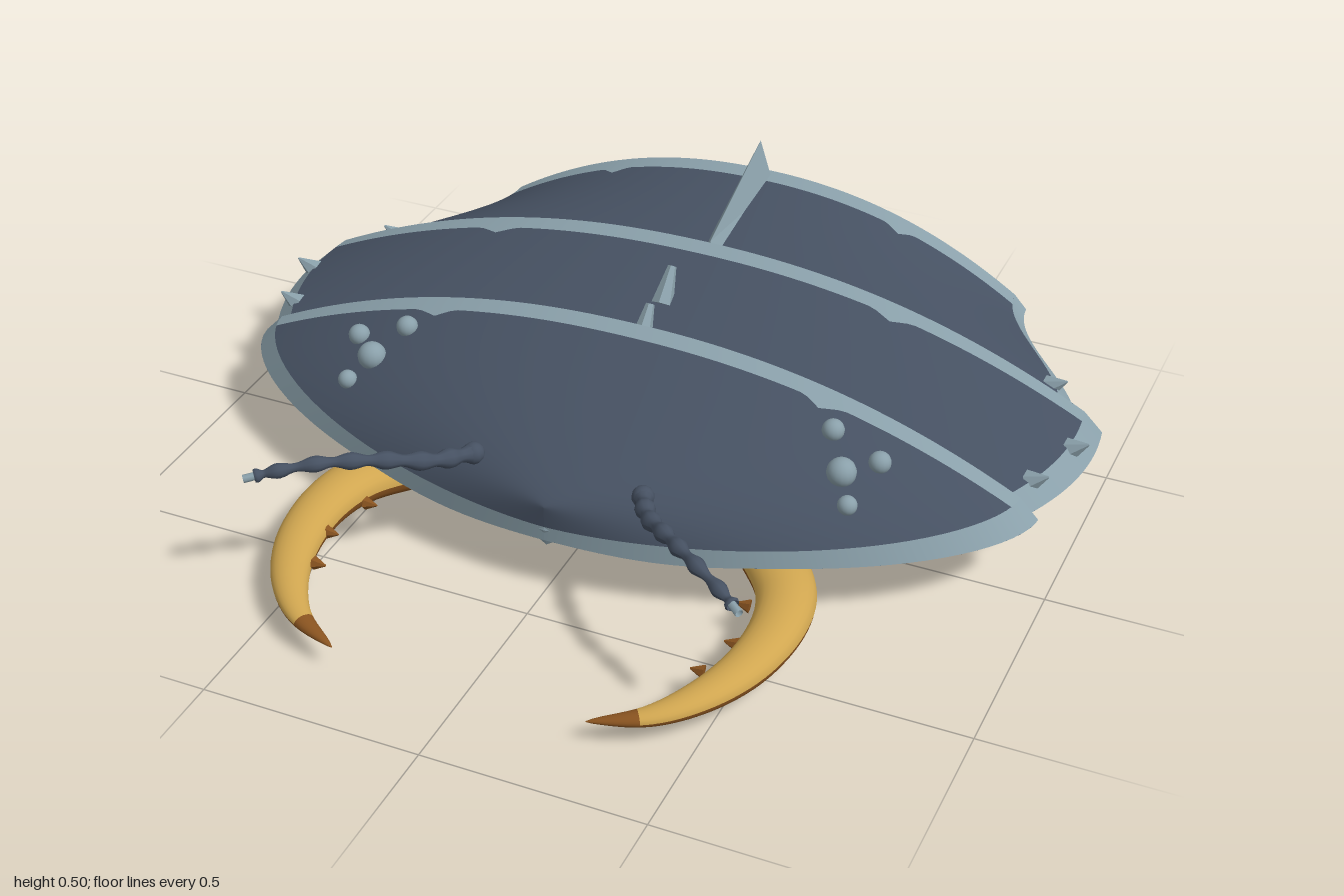
import * as THREE from 'three';

const mat = (name, color) => {
  const m = new THREE.MeshStandardMaterial({ color, side: THREE.DoubleSide });
  m.name = name;
  return m;
};
const lerp = THREE.MathUtils.lerp;

// Smooth surface patch from a rule: fn(a, b) -> [x, y, z], with a and b in 0..1
function patch(fn, na, nb) {
  const pos = [], idx = [];
  for (let i = 0; i <= na; i++)
    for (let j = 0; j <= nb; j++) {
      pos.push(...fn(i / na, j / nb));
      if (i < na && j < nb) {
        const p = i * (nb + 1) + j, q = p + nb + 1;
        idx.push(p, p + 1, q, p + 1, q + 1, q);
      }
    }
  const g = new THREE.BufferGeometry();
  g.setAttribute('position', new THREE.Float32BufferAttribute(pos, 3));
  g.setIndex(idx);
  g.computeVertexNormals();
  return g;
}

// Shell segments: half width, crown height and edge heights along t (front 0, back 1)
const headWidth = t => 0.955 * Math.pow(Math.max(0, 1 - Math.pow(1 - t, 1.7)), 0.6);
const SEGMENTS = [
  { name: 'headShell', z0: 0.41, z1: -0.055, ease: 2, notch: 0.52,
    w: headWidth,
    h: t => 0.22 + 0.2 * Math.pow(t, 0.7),
    low: t => 0.135 + 0.03 * headWidth(t) ** 2,
    high: t => 0.17 + 0.042 * headWidth(t) ** 2,
    belly: t => 0.1 * (1 - Math.pow(1 - t, 2.5)) },
  { name: 'middleShell', z0: -0.05, z1: -0.43, ease: 1, notch: 0.52,
    w: t => 1 - 0.13 * (t - 0.75) ** 2,
    h: t => lerp(0.34, 0.435, t),
    low: () => 0.168,
    high: () => 0.212,
    belly: t => lerp(0.1, 0.11, t) },
  { name: 'rearShell', z0: -0.425, z1: -0.84, ease: 1, notch: 0.56,
    w: t => 0.925 - 0.235 * THREE.MathUtils.smoothstep(t, 0, 1),
    h: t => lerp(0.34, 0.42, t),
    low: t => lerp(0.165, 0.188, t),
    high: t => lerp(0.2, 0.222, t),
    belly: t => lerp(0.11, 0.12, t) },
];

const segT = (s, z) => THREE.MathUtils.clamp((s.z0 - z) / (s.z0 - s.z1), 0, 1);

// Point on the domed top, u = -1..1 across
function topPoint(s, z, u) {
  const t = segT(s, z), y = s.high(t);
  return [u * s.w(t) * 0.955, y + (s.h(t) - y) * (1 - Math.pow(Math.abs(u), 2.2)), z];
}
// Point on the underside, with the belly bulging in the middle
function underPoint(s, z, u) {
  const t = segT(s, z), x = u * s.w(t);
  const bulge = Math.abs(x) < 0.52 ? Math.cos((x / 0.52) * Math.PI / 2) ** 2 : 0;
  return [x, lerp(s.low(t), 0.138, 1 - u * u) - s.belly(t) * bulge, z];
}
// Height of a shell at a given x and z
function surfaceY(s, x, z) {
  const u = x / (s.w(segT(s, z)) * 0.955);
  return topPoint(s, z, THREE.MathUtils.clamp(u, -1, 1))[1];
}

export function createModel() {
  const shell = mat('slate shell', 0x465162);
  const trim = mat('pale trim', 0x8aa0aa);
  const gold = mat('gold claw', 0xd0a650);
  const brown = mat('brown claw', 0x8a5420);

  const model = new THREE.Group();
  model.name = 'armouredBeetle';
  const add = (name, geo, m, parent = model) => {
    const mesh = new THREE.Mesh(geo, m);
    mesh.name = name;
    parent.add(mesh);
    return mesh;
  };
  // Cone or stub standing at a point and pointing along a direction
  const spike = (name, m, at, dir, r, rTop, len, sides, parent) => {
    const g = new THREE.CylinderGeometry(rTop, r, len, sides).toNonIndexed();
    g.computeVertexNormals();
    const mesh = add(name, g, m, parent);
    const d = new THREE.Vector3(...dir).normalize();
    mesh.quaternion.setFromUnitVectors(new THREE.Vector3(0, 1, 0), d);
    mesh.position.set(...at).addScaledVector(d, len / 2);
    return mesh;
  };

  // Overlapping shell segments with pale rims
  for (const s of SEGMENTS) {
    const g = new THREE.Group();
    g.name = s.name;
    model.add(g);
    const along = a => lerp(s.z0, s.z1, Math.pow(a, s.ease));
    const split = u => s.z1 + 0.04 + 0.02 * Math.max(0, 1 - Math.abs(Math.abs(u) - s.notch) / 0.05);
    const across = b => b * 2 - 1;
    add('dome', patch((a, b) => {
      const u = across(b);
      return topPoint(s, lerp(s.z0, split(u), Math.pow(a, s.ease)), u);
    }, 28, 100), shell, g);
    add('rearRim', patch((a, b) => {
      const u = across(b);
      return topPoint(s, lerp(split(u), s.z1, a), u);
    }, 2, 100), trim, g);
    for (const side of [1, -1])
      add('sideRim', patch((a, b) => {
        const z = along(a), p = topPoint(s, z, side), q = underPoint(s, z, side);
        const k = side > 0 ? b : 1 - b;
        return p.map((v, i) => lerp(v, q[i], k));
      }, 32, 1), trim, g);
    add('underside', patch((a, b) => underPoint(s, along(a), -across(b)), 28, 60), shell, g);
    add('rearFace', patch((a, b) => {
      const p = topPoint(s, s.z1, across(b)), q = underPoint(s, s.z1, across(b));
      return p.map((v, i) => lerp(v, q[i], a));
    }, 1, 60), shell, g);
  }
  const [head, middle, rear] = SEGMENTS;

  // Diamond on the nose
  const nose = add('noseDiamond', new THREE.OctahedronGeometry(1), trim);
  nose.scale.set(0.07, 0.045, 0.012);
  nose.position.set(0, 0.162, 0.4);

  // Back fin: a triangular ridge rising towards the rear
  add('backFin', (() => {
    const ring = [[[-0.03, 0.33], [0, 0.388], [0.03, 0.33]], [[-0.037, 0.39], [0, 0.505], [0.037, 0.39]]];
    const at = (r, i) => [...ring[r][i], r ? -0.825 : -0.51];
    const faces = [[0, 0, 0, 2, 0, 1], [1, 0, 1, 1, 1, 2],
      [0, 0, 0, 1, 1, 1], [0, 0, 1, 1, 1, 0], [0, 1, 0, 2, 1, 2], [0, 1, 1, 2, 1, 1]];
    const pos = faces.flatMap(f => [0, 2, 4].flatMap(k => at(f[k], f[k + 1])));
    const g = new THREE.BufferGeometry();
    g.setAttribute('position', new THREE.Float32BufferAttribute(pos, 3));
    g.computeVertexNormals();
    return g;
  })(), trim);

  // Two small spines on the middle segment
  for (const z of [-0.1, -0.225])
    spike('backSpine', trim, [0, surfaceY(middle, 0, z) - 0.01, z], [0, 0.07, -0.055], 0.026, 0.01, 0.09, 6);

  for (const side of [1, -1]) {
    // Clustered eyes
    for (const [x, z, r] of [[0.515, 0.045, 0.025], [0.63, 0.065, 0.025], [0.565, 0.125, 0.033], [0.6, 0.18, 0.022]])
      add('eye', new THREE.SphereGeometry(r, 16, 12), trim)
        .position.set(side * x, surfaceY(head, x, z) + 0.006, z);

    // Thorns along the side rims
    for (const [s, x, z] of [[middle, 0.91, -0.13], [middle, 0.955, -0.29], [rear, 0.84, -0.52]])
      spike('rimThorn', trim, [side * x, surfaceY(s, x, z) - 0.012, z], [side * 0.8, 0.5, 0.1], 0.026, 0.002, 0.05, 6);

    // Beaded antenna with a thin pale tip
    const feeler = new THREE.CatmullRomCurve3([[0.2, 0.262, 0.34], [0.25, 0.285, 0.43],
      [0.33, 0.32, 0.52], [0.42, 0.338, 0.6], [0.52, 0.325, 0.665], [0.56, 0.318, 0.695]]
      .map(([x, y, z]) => new THREE.Vector3(side * x, y, z)));
    const sweep = (curve, radius, from, to, tall, a0, a1, na, nb) => patch((a, b) => {
      const t = lerp(from, to, a), c = curve.getPoint(t), d = curve.getTangent(t);
      const n = new THREE.Vector3().crossVectors(d, new THREE.Vector3(0, 1, 0)).normalize();
      const up = new THREE.Vector3().crossVectors(n, d), r = radius(t), ang = lerp(a0, a1, b);
      return c.addScaledVector(n, r * Math.cos(ang)).addScaledVector(up, r * tall * Math.sin(ang)).toArray();
    }, na, nb);
    const antenna = new THREE.Group();
    antenna.name = 'antenna';
    model.add(antenna);
    add('antennaStem', sweep(feeler, t => lerp(0.02, 0.011, t) + 0.004 * Math.cos(t * 50),
      0, 0.9, 1, 0, 2 * Math.PI, 72, 10), shell, antenna);
    add('antennaTip', sweep(feeler, () => 0.009, 0.88, 1, 1, 0, 2 * Math.PI, 6, 8), trim, antenna);
    add('antennaBase', new THREE.SphereGeometry(0.025, 12, 10), shell, antenna)
      .position.copy(feeler.getPoint(0));

    // Curved claw: gold above, brown below and at the tip
    const claw = new THREE.Group();
    claw.name = 'claw';
    model.add(claw);
    const hook = new THREE.CatmullRomCurve3([[0.34, 0.065, 0.08], [0.44, 0.07, 0.19], [0.515, 0.073, 0.3],
      [0.54, 0.073, 0.42], [0.525, 0.07, 0.56], [0.475, 0.066, 0.68], [0.4, 0.06, 0.77], [0.29, 0.055, 0.83]]
      .map(([x, y, z]) => new THREE.Vector3(side * x, y, z)));
    const girth = t => 0.072 * Math.pow(1 - t, 0.75) * (1 + 0.55 * t) + 0.001;
    add('clawTop', sweep(hook, girth, 0, 0.88, 0.7, 0, Math.PI, 40, 12), gold, claw);
    add('clawUnderside', sweep(hook, girth, 0, 0.88, 0.7, Math.PI, 2 * Math.PI, 40, 12), brown, claw);
    add('clawTip', sweep(hook, girth, 0.88, 1, 0.7, 0, 2 * Math.PI, 8, 20), brown, claw);
    [[0, gold], [Math.PI / 2, brown]].forEach(([start, m]) => {
      const ball = add('clawJoint', new THREE.SphereGeometry(1, 24, 10, 0, Math.PI * 2, start, Math.PI / 2), m, claw);
      ball.scale.set(0.082, 0.06, 0.078);
      ball.position.set(side * 0.335, 0.06, 0.08);
    });
    // Teeth on the inner edge
    for (const [x, z] of [[0.46, 0.37], [0.485, 0.5], [0.455, 0.61]])
      spike('clawTooth', brown, [side * x, 0.073, z], [-side, 0.1, 0.1], 0.016, 0.002, 0.03, 6, claw);
  }
  return model;
}
